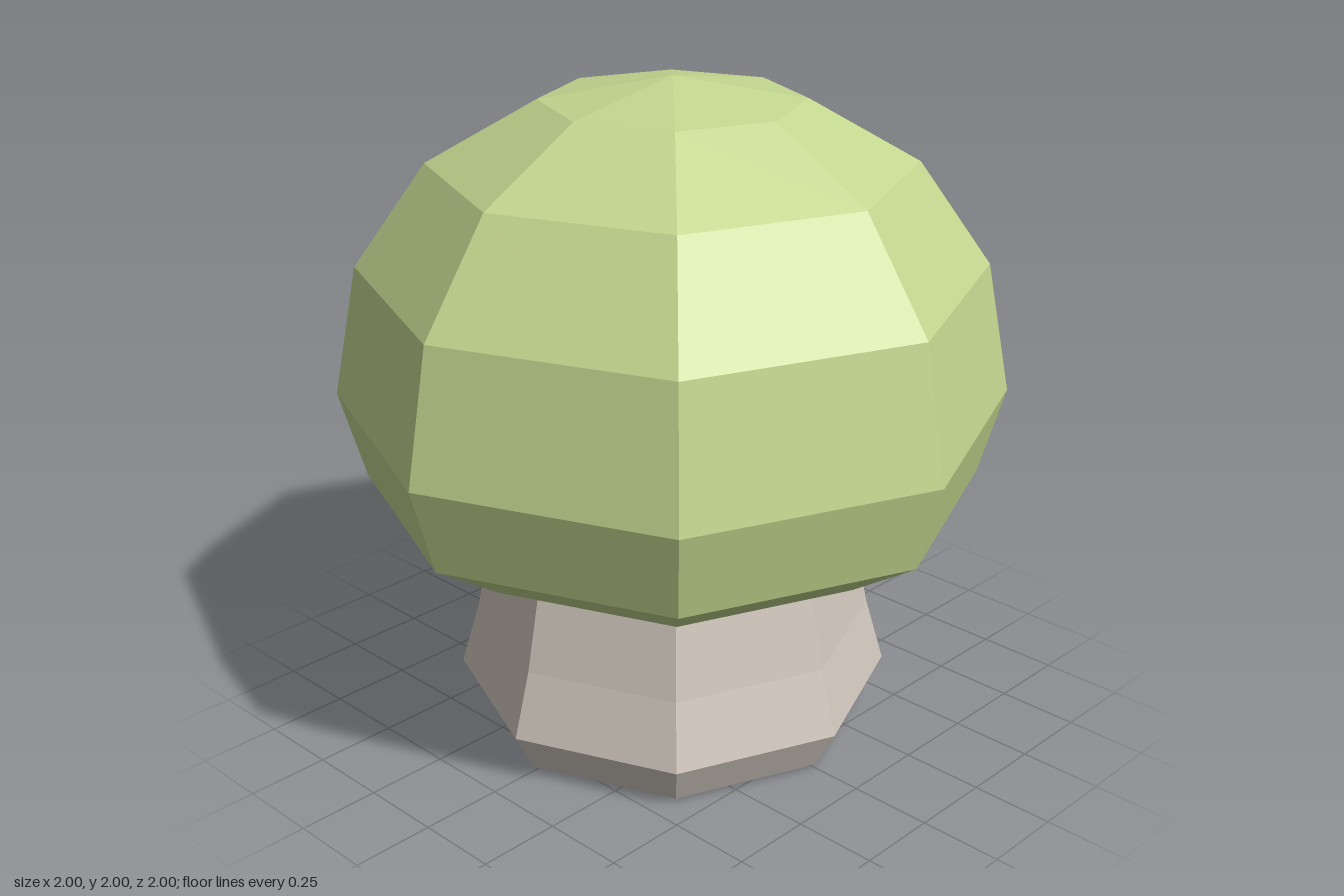
import * as THREE from 'three';

const SIDES = 8;

// Faceted solid of revolution; profile runs from bottom to top as [radius, y]
function facetedLathe(name, profile, material) {
  const points = profile.map(([r, y]) => new THREE.Vector2(r, y));
  const geometry = new THREE.LatheGeometry(points, SIDES).toNonIndexed();
  geometry.computeVertexNormals();
  const mesh = new THREE.Mesh(geometry, material);
  mesh.name = name;
  return mesh;
}

export function createModel() {
  const green = new THREE.MeshStandardMaterial({ color: 0xc3d68f });
  green.name = 'soft green';
  const stone = new THREE.MeshStandardMaterial({ color: 0xd0c7bc });
  stone.name = 'warm grey';

  const group = new THREE.Group();
  group.name = 'mushroom';

  // Stem: narrow foot, bulge, then taper up into the cap
  group.add(facetedLathe('stem', [
    [0, 0], [0.595, 0.014], [0.662, 0.14], [0.605, 0.34], [0.545, 0.64], [0.54, 0.7], [0, 0.7],
  ], stone));

  // Cap: tall dome above its widest ring, flattened below, closed underside
  group.add(facetedLathe('cap', [
    [0, 0.637], [0.707, 0.64], [0.924, 0.783], [1, 1.047],
    [0.924, 1.442], [0.707, 1.75], [0.383, 1.933], [0, 2],
  ], green));

  return group;
}
